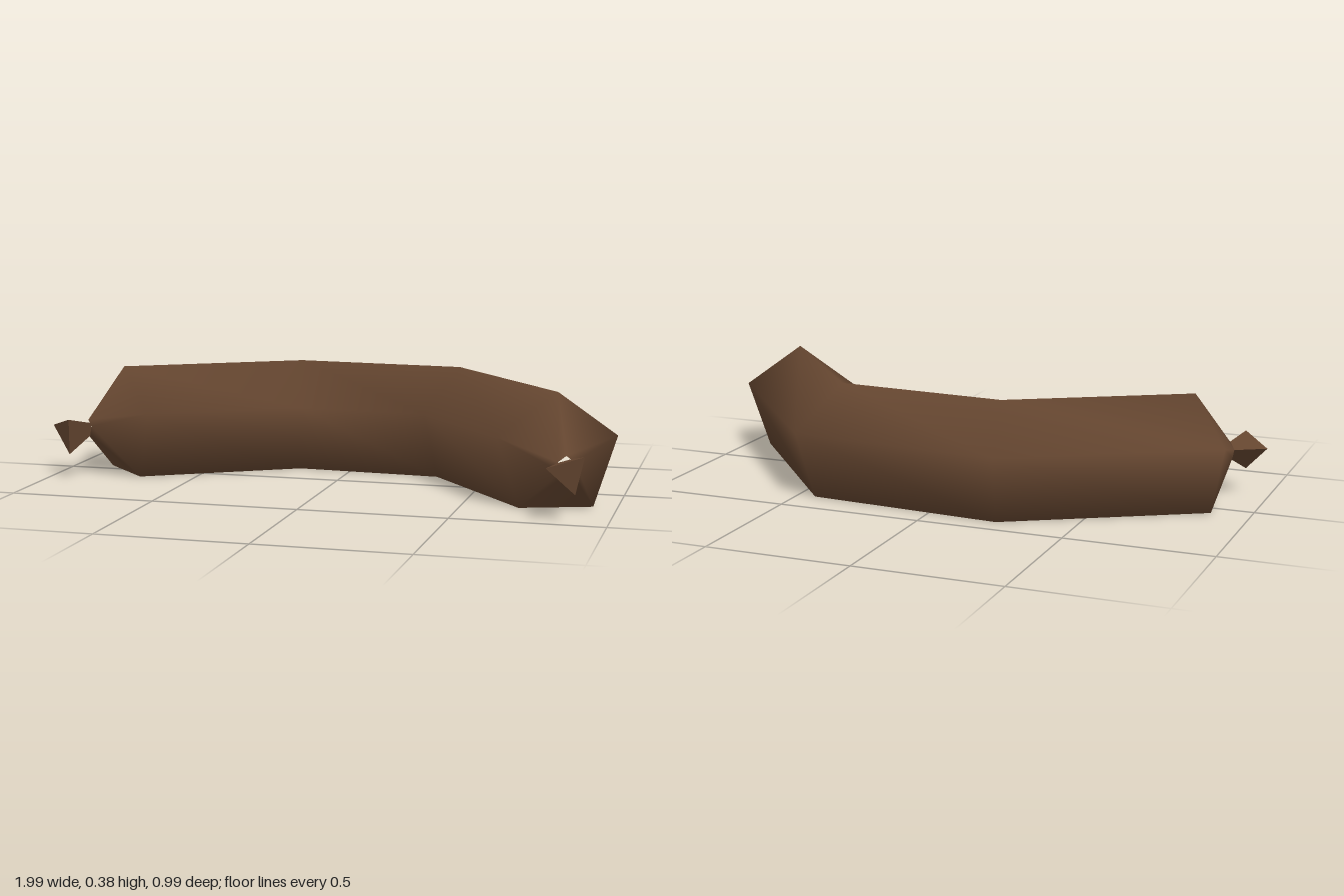
import * as THREE from 'three';
import { ConvexGeometry } from 'three/addons/geometries/ConvexGeometry.js';

const SIDES = 5;
const RADIUS = 0.21;
const AXIS_Y = 0.17;

// Cross-sections from one end to the other: centre x, z, outward direction x, z, radius
const RINGS = [
  [-0.88, 0.13, -0.707, -0.707, 0.028],
  [-0.78, 0.03, -0.707, -0.707, RADIUS],
  [-0.215, -0.3, -0.23, -0.973, RADIUS],
  [0.38, -0.265, 0.457, -0.889, RADIUS],
  [0.805, 0.245, 0.943, -0.333, RADIUS],
  [0.855, 0.388, 0.943, -0.333, 0.028],
];

// Smooth five-sided loft through the rings
function casingGeometry() {
  const positions = [];
  const index = [];
  RINGS.forEach(([x, z, ux, uz, r], i) => {
    for (let j = 0; j < SIDES; j++) {
      const a = (j / SIDES) * Math.PI * 2;
      const out = r * Math.sin(a);
      positions.push(x + ux * out, AXIS_Y + r * Math.cos(a), z + uz * out);
      if (i === RINGS.length - 1) continue;
      const p = i * SIDES + j;
      const q = i * SIDES + ((j + 1) % SIDES);
      index.push(p, p + SIDES, q, q, p + SIDES, q + SIDES);
    }
  });
  const geometry = new THREE.BufferGeometry();
  geometry.setAttribute('position', new THREE.Float32BufferAttribute(positions, 3));
  geometry.setIndex(index);
  geometry.computeVertexNormals();
  return geometry;
}

// Flared three-sided twist of casing, narrow where it meets the body
function knotGeometry(tip, corners) {
  const wide = corners.map((c) => new THREE.Vector3(...c));
  const centre = new THREE.Vector3();
  wide.forEach((v) => centre.addScaledVector(v, 1 / 3));
  const root = new THREE.Vector3(...tip);
  const narrow = wide.map((v) => v.clone().sub(centre).multiplyScalar(0.35).add(root));
  return new ConvexGeometry([...wide, ...narrow]);
}

export function createModel() {
  const group = new THREE.Group();
  group.name = 'sausage';
  const brown = new THREE.MeshStandardMaterial({ color: 0x654630 });
  brown.name = 'sausageBrown';

  const add = (name, geometry) => {
    const mesh = new THREE.Mesh(geometry, brown);
    mesh.name = name;
    group.add(mesh);
  };

  add('casing', casingGeometry());
  add('rightKnot', knotGeometry(
    [-0.878, 0.17, 0.13],
    [[-1, 0.18, 0.16], [-0.905, 0.215, 0.245], [-0.915, 0.088, 0.22]],
  ));
  add('leftKnot', knotGeometry(
    [0.855, 0.17, 0.385],
    [[0.805, 0.175, 0.492], [0.925, 0.213, 0.475], [0.895, 0.088, 0.46]],
  ));
  return group;
}
